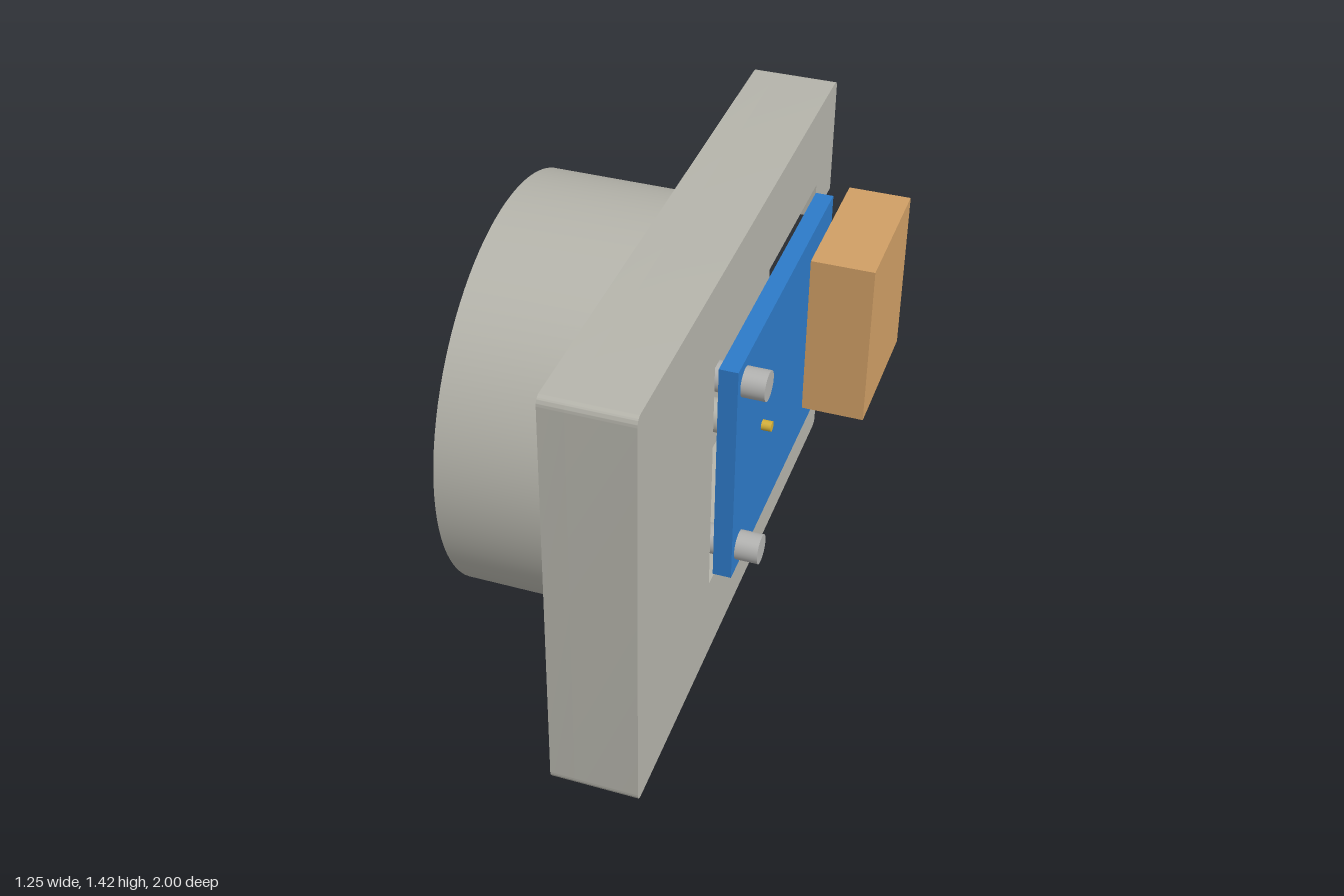
import * as THREE from 'three';
import { toCreasedNormals } from 'three/addons/utils/BufferGeometryUtils.js';

const CY = 0.713, CZ = 0.012; // axis of the barrel
const X_BACK = 0.067, X_FLOOR = 0.145, X_FACE = 0.345;

function material(name, color) {
  const m = new THREE.MeshStandardMaterial({ color });
  m.name = name;
  return m;
}

// Extrude a side-on outline (u = -z, v = y) between two x positions.
function slab(shape, x0, x1) {
  const g = new THREE.ExtrudeGeometry(shape, { depth: x1 - x0, bevelEnabled: false, curveSegments: 24 });
  g.rotateY(Math.PI / 2);
  g.translate(x0, 0, 0);
  return toCreasedNormals(g, 0.6);
}

// Plate outline; with a cut-out it becomes a frame open at the rear edge.
function plateShape(cutOut) {
  const u0 = -1, u1 = 0.977, h = 1.42, r = 0.03, s = new THREE.Shape();
  s.moveTo(u0 + r, 0);
  s.lineTo(u1 - r, 0);
  s.quadraticCurveTo(u1, 0, u1, r);
  if (cutOut) {
    const p = [[u1, 0.42], [0.775, 0.42], [0.775, 0.3], [-0.333, 0.3],
      [-0.333, 1.13], [0.775, 1.13], [0.775, 1.008], [u1, 1.008]];
    p.forEach(([u, v]) => s.lineTo(u, v));
  }
  s.lineTo(u1, h - r);
  s.quadraticCurveTo(u1, h, u1 - r, h);
  s.lineTo(u0 + r, h);
  s.quadraticCurveTo(u0, h, u0, h - r);
  s.lineTo(u0, r);
  s.quadraticCurveTo(u0, 0, u0 + r, 0);
  return s;
}

export function createModel() {
  const root = new THREE.Group();
  root.name = 'sensorHousing';
  const housing = material('housing grey', 0xb5b4ab);
  const steel = material('screw grey', 0xb2b2b0);
  const blue = material('board blue', 0x2d7ac8);
  const tan = material('connector tan', 0xd09f65);
  const gold = material('pin gold', 0xd4af37);

  function add(name, geometry, mat) {
    const mesh = new THREE.Mesh(geometry, mat);
    mesh.name = name;
    root.add(mesh);
    return mesh;
  }
  function box(name, mat, x0, x1, y0, y1, z0, z1) {
    const g = new THREE.BoxGeometry(x1 - x0, y1 - y0, z1 - z0);
    g.translate((x0 + x1) / 2, (y0 + y1) / 2, (z0 + z1) / 2);
    return add(name, g, mat);
  }
  function rod(name, mat, radius, x0, x1, y, z, sides = 32) {
    const g = new THREE.CylinderGeometry(radius, radius, x1 - x0, sides);
    g.rotateZ(-Math.PI / 2);
    g.translate((x0 + x1) / 2, y, z);
    return add(name, g, mat);
  }

  // Plate: thin floor with screw holes, plus the frame around the pocket
  const screws = [[0.4, 0.232], [1.03, 0.232]];
  const floor = plateShape(false);
  for (const [y, z] of screws) {
    const hole = new THREE.Path();
    hole.absarc(-z, y, 0.054, 0, Math.PI * 2, true);
    floor.holes.push(hole);
  }
  add('plateFloor', slab(floor, X_BACK, X_FLOOR), housing);
  add('plateFrame', slab(plateShape(true), X_FLOOR, X_FACE), housing);

  // Barrel with an internally threaded bore
  const front = -0.408, outer = 0.672, bore = 0.47, pitch = 0.031, threads = 10;
  const profile = [[outer, front], [outer, X_BACK], [bore, X_BACK]];
  for (let i = threads; i > 0; i--) {
    const x = front + i * pitch;
    profile.push([bore, x], [bore - 0.018, x - pitch * 0.45], [bore - 0.018, x - pitch * 0.55]);
  }
  profile.push([bore, front], [outer, front]);
  const barrel = new THREE.LatheGeometry(profile.map(([r, x]) => new THREE.Vector2(r, x)), 96);
  barrel.rotateZ(-Math.PI / 2);
  barrel.translate(0, CY, CZ);
  add('threadedBarrel', toCreasedNormals(barrel, 0.5), housing);

  // Circuit board and connector block
  box('circuitBoard', blue, 0.348, 0.408, 0.32, 1.108, -0.762, 0.305);
  box('connectorBlock', tan, 0.408, 0.622, 0.419, 1.01, -1, -0.5);

  // Fasteners and contact pin
  for (const [y, z] of screws) rod('screw', steel, 0.048, 0.09, 0.482, y, z);
  rod('pinSleeve', housing, 0.055, X_FLOOR - 0.01, 0.348, CY, CZ);
  rod('contactPin', gold, 0.017, -0.626, 0.44, CY, CZ, 20);

  return root;
}
